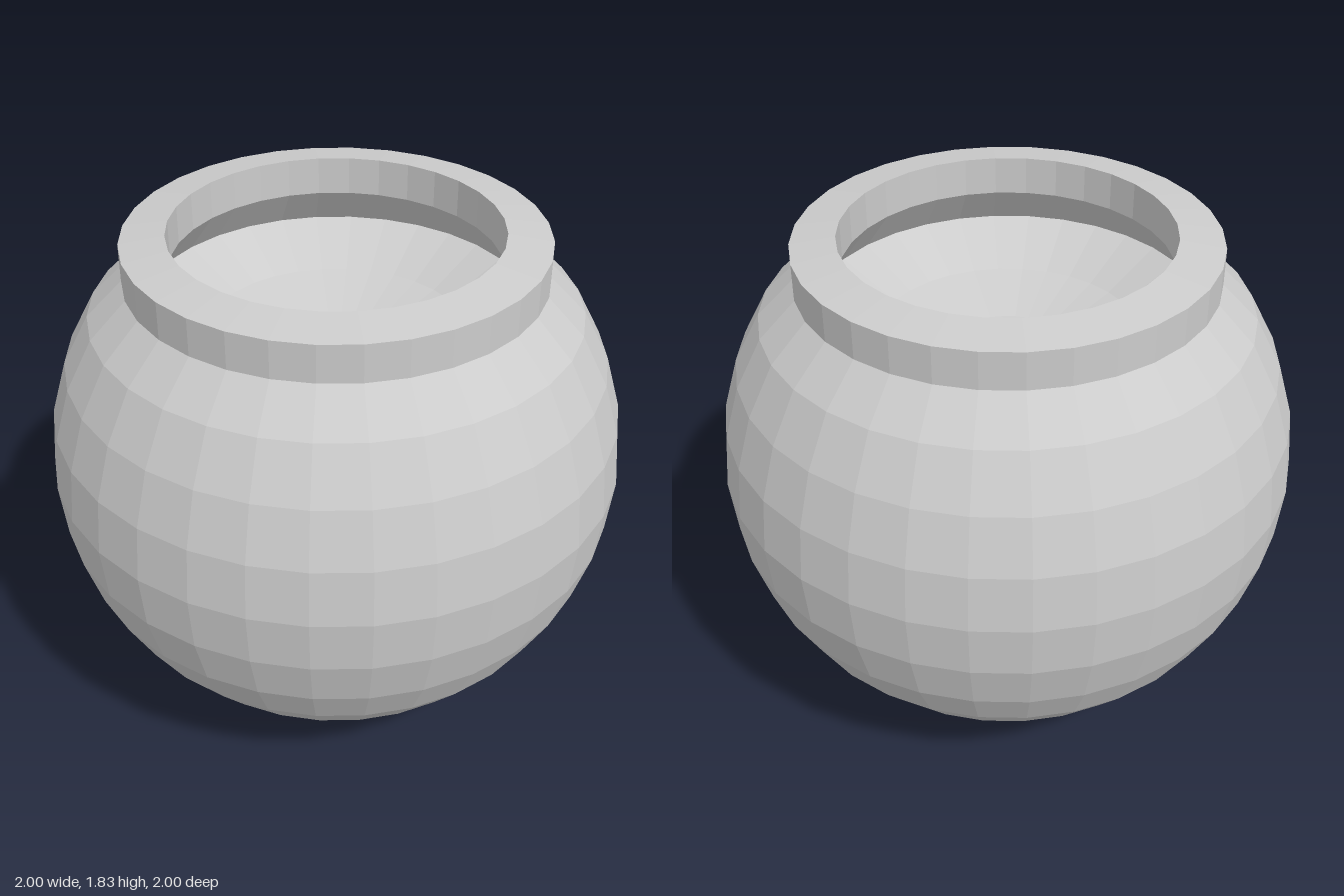
import * as THREE from 'three';

const SEGMENTS = 32;
const STEP = Math.PI / 16; // angle between sphere rings

// Faceted surface of revolution; profile runs bottom to top on the outside
function lathe(name, profile) {
  const points = profile.map(([r, y]) => new THREE.Vector2(r, y));
  const geometry = new THREE.LatheGeometry(points, SEGMENTS).toNonIndexed();
  geometry.computeVertexNormals();
  const material = new THREE.MeshStandardMaterial({ color: 0xcccccc, flatShading: true });
  const mesh = new THREE.Mesh(geometry, material);
  mesh.name = name;
  return mesh;
}

export function createModel() {
  const group = new THREE.Group();
  group.name = 'roundPot';

  const neckRadius = Math.sin(4 * STEP);
  const mouthRadius = Math.sin(3 * STEP);
  const neckBase = [neckRadius, 1.68];
  const mouthBottom = [mouthRadius, 1.7];

  // Round body: sphere rings from the bottom pole up to the neck
  const body = [];
  for (let i = 0; i < 12; i++) {
    body.push([Math.sin(i * STEP), 1 - Math.cos(i * STEP)]);
  }
  body.push(neckBase);
  group.add(lathe('body', body));

  // Collar: upright wall, gently sloping lip, inner wall of the mouth
  group.add(lathe('collar', [
    neckBase,
    [neckRadius, 1.81],
    [mouthRadius, 1.833],
    mouthBottom,
  ]));

  // Inside: undercut below the mouth, then a shallow concave floor
  const bowlRadius = 1.2;
  const floorY = 1.35;
  const inside = [mouthBottom];
  for (let i = 3; i >= 0; i--) {
    inside.push([
      bowlRadius * Math.sin(i * STEP),
      floorY + bowlRadius * (1 - Math.cos(i * STEP)),
    ]);
  }
  group.add(lathe('innerBowl', inside));

  return group;
}
